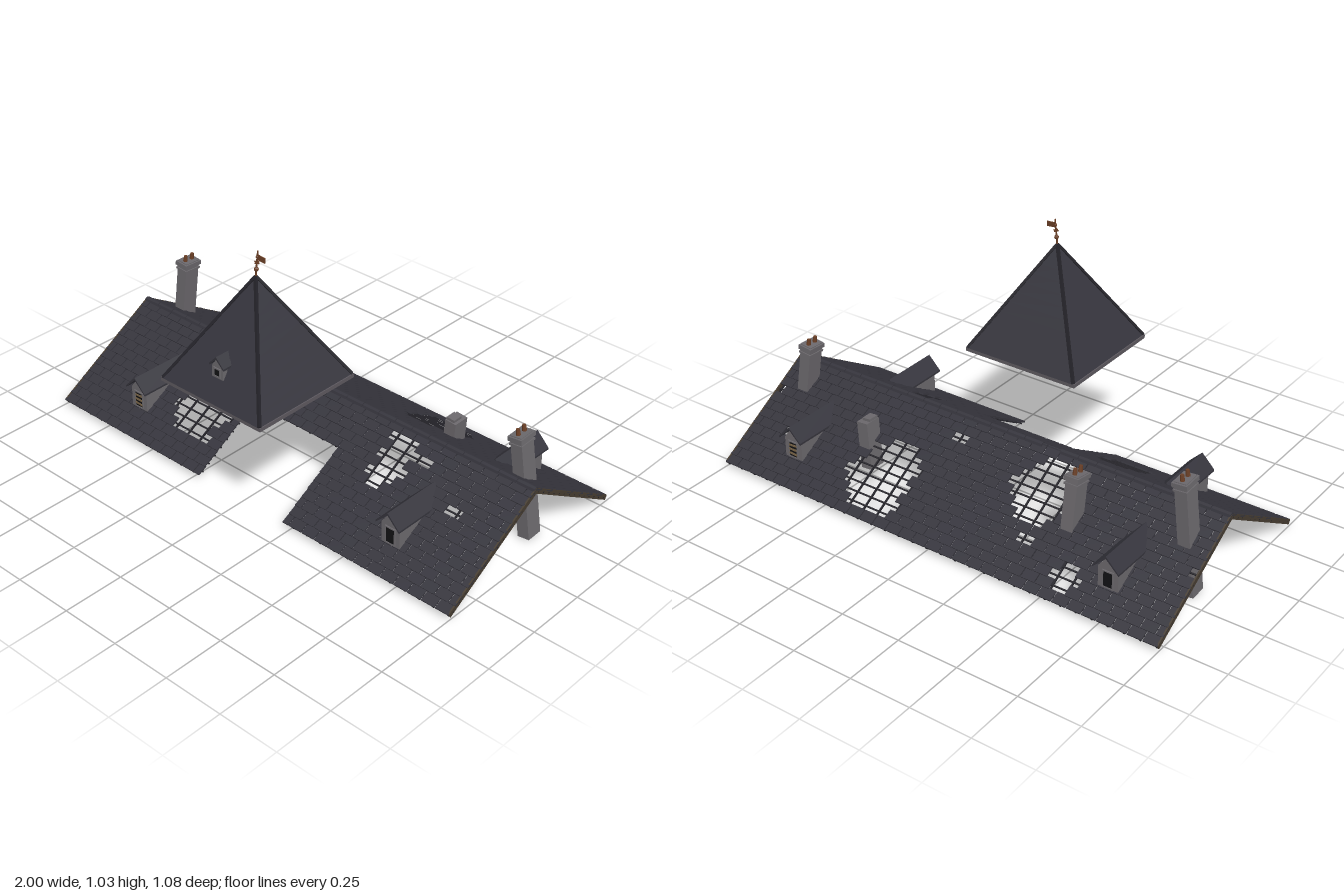
import * as THREE from 'three';
import { mergeGeometries } from 'three/addons/utils/BufferGeometryUtils.js';

const mat = (color, side = THREE.FrontSide) => new THREE.MeshStandardMaterial({ color, flatShading: true, side });
const SLATE = mat(0x35343c), DARK = mat(0x232228), STONE = mat(0x6b686c), TIMBER = mat(0x463c30);
const RUST = mat(0x6a3f26), BLACK = mat(0x121214), BOARD = mat(0x7a6548), RIM = mat(0x5c585e);

const RIDGE_Y = 0.305, RIDGE_Z = -0.07, LENGTH = 0.547, ANGLE = Math.atan2(0.28, 0.47);
const ROWS = 14, PITCH = LENGTH / ROWS, TILE = 0.0625;

function add(parent, name, geometry, material, x = 0, y = 0, z = 0) {
  const m = new THREE.Mesh(geometry, material);
  m.name = name;
  m.position.set(x, y, z);
  parent.add(m);
  return m;
}
const box = (w, h, d, x = 0, y = 0, z = 0) => new THREE.BoxGeometry(w, h, d).translate(x, y, z);
const group = (parent, name) => {
  const g = new THREE.Group();
  g.name = name;
  parent.add(g);
  return g;
};

// One slope: local x runs along the ridge, local z runs down the slope.
// Holes are [x, distance from ridge in plan, half width, half depth]; single tiles omit the sizes.
function slope(parent, name, holes, notched) {
  const g = group(parent, name);
  const missing = (x, s) => holes.some(([hx, hz, rx, rz]) => {
    const dx = Math.abs(x - hx), ds = Math.abs(s - hz / Math.cos(ANGLE));
    return rx ? (dx / rx) ** 2.6 + (ds * Math.cos(ANGLE) / rz) ** 2.6 < 1 : dx < TILE / 2 && ds < PITCH / 2;
  });
  const spans = (row) => (notched && row >= 5 ? [[-1, -0.22], [0.22, 1]] : [[-1, 1]]);
  const tiles = [], battens = [];
  for (let row = 0; row < ROWS; row++) {
    const s = (row + 0.5) * PITCH;
    for (const [a, b] of spans(row)) {
      battens.push(box(b - a, 0.005, 0.006, (a + b) / 2, -0.011, s));
      for (let i = -17; i <= 17; i++) {
        const c = (i + (row % 2) / 2) * TILE;
        const x0 = Math.max(a, c - TILE / 2 + 0.0022), x1 = Math.min(b, c + TILE / 2 - 0.0022);
        if (x1 - x0 < 0.006 || missing(c, s)) continue;
        const t = new THREE.BoxGeometry(x1 - x0, 0.006, PITCH * 1.12);
        t.rotateX(-0.09).translate((x0 + x1) / 2, -0.003, s);
        tiles.push(t);
      }
    }
  }
  // Rafters, shortened above the notch
  for (let i = 0; i <= 30; i++) {
    const x = -0.99 + i * 0.066;
    const len = notched && Math.abs(x) < 0.22 ? 5 * PITCH : LENGTH;
    battens.push(box(0.006, 0.007, len, x, -0.017, len / 2));
  }
  add(g, 'slates', mergeGeometries(tiles), SLATE);
  add(g, 'rafters and battens', mergeGeometries(battens), DARK);
  for (const x of [-0.997, 0.997]) add(g, 'verge board', box(0.006, 0.02, LENGTH), TIMBER, x, -0.009, LENGTH / 2);
  g.position.set(0, RIDGE_Y, RIDGE_Z);
  g.rotation.set(ANGLE, 0, 0);
  return g;
}

// Gabled dormer; the origin is at the foot of its window wall, which faces local +z
function dormer(parent, name, o) {
  const g = group(parent, name);
  const { w, wall, peak, depth, over } = o, h = w / 2;
  const pent = new THREE.Shape([[-h, 0], [h, 0], [h, wall], [0, peak - 0.008], [-h, wall]].map(p => new THREE.Vector2(...p)));
  add(g, 'dormer walls', new THREE.ExtrudeGeometry(pent, { depth, bevelEnabled: false }), STONE, 0, 0, -depth);
  const e = o.eave / 2;
  const roof = new THREE.Shape([[-e, wall], [-e, wall + 0.008], [0, peak], [e, wall + 0.008], [e, wall], [0, peak - 0.01]]
    .map(p => new THREE.Vector2(...p)));
  add(g, 'dormer roof', new THREE.ExtrudeGeometry(roof, { depth: depth + over * 2, bevelEnabled: false }), SLATE, 0, 0, -depth - over);
  // Window with frame
  const ww = w * 0.46, wh = wall * 0.62, wy = wall * 0.56;
  add(g, 'window opening', box(ww, wh, 0.003), BLACK, 0, wy, 0.001);
  for (const s of [-1, 1]) {
    add(g, 'window jamb', box(0.005, wh + 0.01, 0.006), STONE, s * (ww / 2 + 0.002), wy, 0.002);
    add(g, 'window rail', box(ww, 0.005, 0.006), STONE, 0, wy + s * (wh / 2 + 0.002), 0.002);
  }
  if (o.boards) for (let i = -1; i <= 1; i++) {
    add(g, 'window board', box(ww, 0.008, 0.004), BOARD, 0, wy + i * wh * 0.3, 0.003).rotation.z = i * 0.06;
  }
  return g;
}

// Leaning stack from base point to top point
function chimney(parent, name, base, top, capped = true) {
  const g = group(parent, name);
  const a = new THREE.Vector3(...base), d = new THREE.Vector3(...top).sub(a), len = d.length();
  g.position.copy(a);
  g.quaternion.setFromUnitVectors(new THREE.Vector3(0, 1, 0), d.normalize());
  add(g, 'stack', box(0.05, len, 0.07), STONE, 0, len / 2, 0);
  if (!capped) {
    add(g, 'broken top', box(0.036, 0.012, 0.045), STONE, -0.005, len + 0.005, 0.008);
    return;
  }
  add(g, 'lower band', box(0.058, 0.008, 0.079), STONE, 0, len - 0.035, 0);
  add(g, 'cap', box(0.062, 0.018, 0.085), STONE, 0, len - 0.012, 0);
  for (const z of [-0.018, 0.018]) {
    add(g, 'pot', new THREE.CylinderGeometry(0.007, 0.009, 0.026, 8), RUST, 0, len + 0.012, z);
  }
}

// Square bar between two points
function bar(parent, name, a, b, t, material) {
  const p = new THREE.Vector3(...a), d = new THREE.Vector3(...b).sub(p), len = d.length();
  const m = add(parent, name, box(t, len, t, 0, len / 2, 0), material, ...a);
  m.quaternion.setFromUnitVectors(new THREE.Vector3(0, 1, 0), d.normalize());
}

function towerRoof(parent) {
  const g = group(parent, 'tower roof');
  g.position.z = 0.295;
  add(g, 'eaves rim', box(0.5, 0.015, 0.49), RIM, 0, 0.508, 0);
  // Overlapping slate courses up to the apex
  const y0 = 0.515, apex = 0.925, n = 11, step = (apex - y0) / n;
  const half = y => 0.243 * (apex - y) / (apex - y0);
  for (let i = 0; i < n; i++) {
    const y = y0 + i * step;
    const c = new THREE.CylinderGeometry(half(y + step) * Math.SQRT2, (half(y) + 0.003) * Math.SQRT2, step, 4, 1);
    add(g, 'slate course', c.rotateY(Math.PI / 4), SLATE, 0, y + step / 2, 0);
  }
  for (const sx of [-1, 1]) for (const sz of [-1, 1]) {
    bar(g, 'hip ridge', [sx * 0.243, y0, sz * 0.241], [0, apex, 0], 0.011, DARK);
  }
  const d = dormer(g, 'tower dormer', { w: 0.055, wall: 0.045, peak: 0.09, depth: 0.06, over: 0.006, eave: 0.072 });
  d.position.set(0, 0.595, 0.2);

  // Weather vane
  const v = group(g, 'weather vane');
  v.position.set(0, 0.918, 0);
  v.rotation.set(-0.04, 0, -0.08);
  add(v, 'rod', new THREE.CylinderGeometry(0.003, 0.004, 0.11, 6), RUST, 0, 0.055, 0);
  add(v, 'ball', new THREE.SphereGeometry(0.009, 8, 6), RUST, 0, 0.037, 0);
  add(v, 'cross bar', box(0.022, 0.004, 0.004), RUST, 0, 0.064, 0);
  add(v, 'cross bar', box(0.004, 0.004, 0.022), RUST, 0, 0.064, 0);
  add(v, 'flag', box(0.036, 0.02, 0.004), RUST, 0.02, 0.086, 0);
  add(v, 'pivot', new THREE.SphereGeometry(0.006, 8, 6), RUST, 0, 0.086, 0);
}

export function createModel() {
  const model = new THREE.Group();
  model.name = 'ruined roof';

  // Main roof slopes; the rear one is turned, so its x is negated
  slope(model, 'front slope', [
    [-0.4, 0.26, 0.12, 0.12], [0.44, 0.12, 0.065, 0.1], [0.545, 0.07], [0.79, 0.2],
  ], true);
  const rear = group(model, 'rear half');
  rear.rotation.y = Math.PI;
  slope(rear, 'rear slope', [
    [-0.33, 0.31, 0.14, 0.135], [0.3, 0.145, 0.115, 0.115], [0.575, 0.38, 0.05, 0.06],
    [0.34, 0.33], [-0.11, 0.08], [-0.79, 0.295], [-0.97, 0.14], [0.99, 0.205],
  ], false).position.z = -RIDGE_Z;

  // Ridge caps, one of them lost
  for (let i = 0; i < 25; i++) {
    if (i === 9) continue;
    const cap = new THREE.CylinderGeometry(0.014, 0.014, 0.077, 8).rotateZ(Math.PI / 2);
    add(model, 'ridge cap', cap, SLATE, -0.96 + i * 0.08, 0.296, RIDGE_Z);
  }

  // Dormers
  const size = { w: 0.084, wall: 0.102, peak: 0.165, depth: 0.22, over: 0.02, eave: 0.108 };
  for (const [x, z, turn, boards] of [[-0.655, 0.3, 0, true], [0.65, 0.3, 0, false], [-0.73, -0.437, Math.PI, false], [0.725, -0.437, Math.PI, true]]) {
    const d = dormer(model, turn ? 'rear dormer' : 'front dormer', { ...size, boards });
    d.position.set(x, 0.07, z);
    d.rotation.y = turn;
  }

  // Chimneys
  chimney(model, 'right chimney', [-0.92, 0.005, -0.18], [-0.878, 0.475, -0.2]);
  chimney(model, 'left chimney', [0.912, 0.005, -0.175], [0.858, 0.432, -0.158]);
  chimney(model, 'middle chimney', [-0.47, 0.09, -0.29], [-0.47, 0.368, -0.248]);
  chimney(model, 'broken chimney', [0.465, 0.07, -0.275], [0.482, 0.268, -0.272], false);

  towerRoof(model);
  return model;
}
